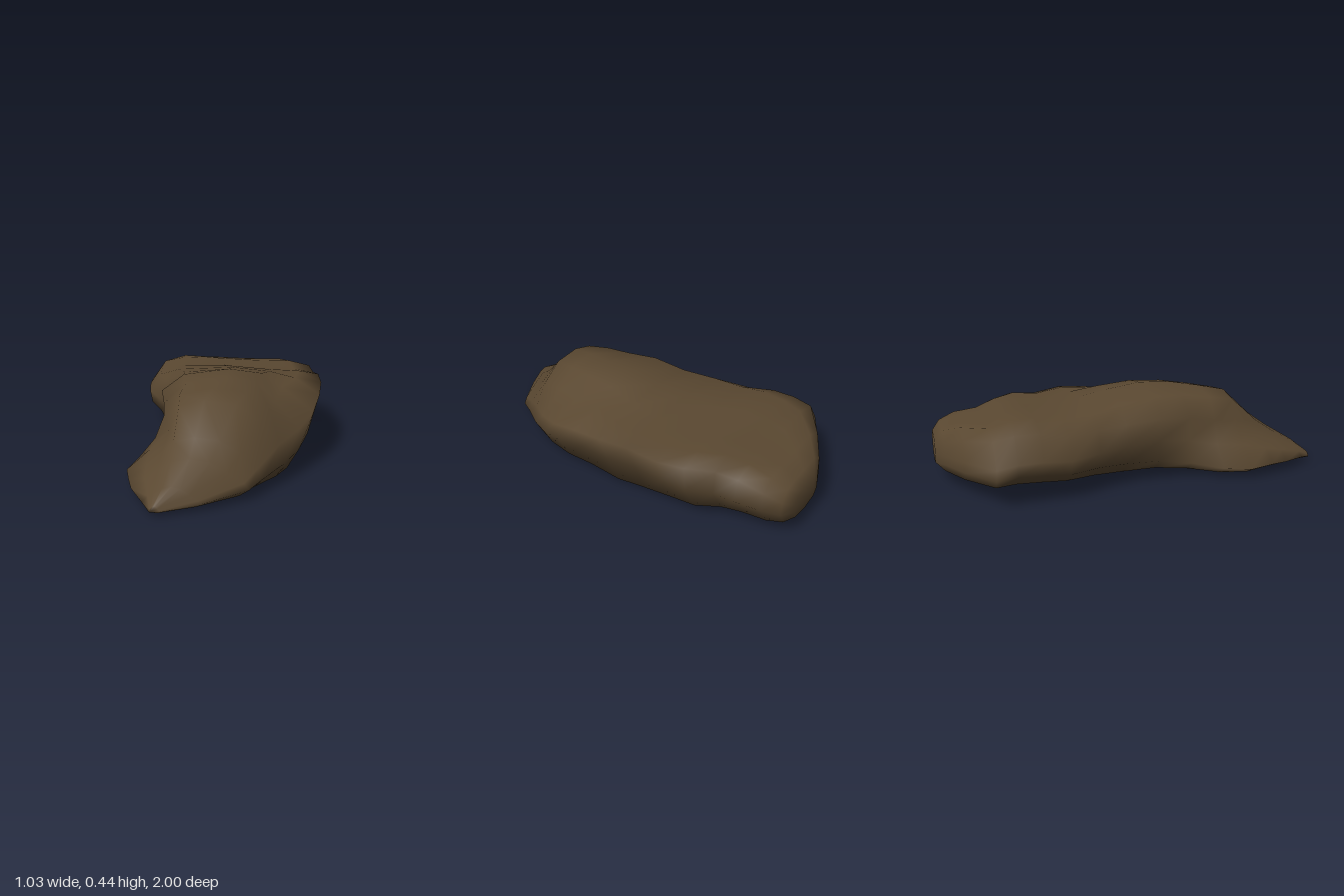
import * as THREE from 'three';

// Outline along the length: z, left x, right x, bottom y, top y
const outline = [
  [1.0, -0.28, -0.23, 0.02, 0.05], [0.93, -0.32, -0.06, 0.02, 0.11],
  [0.8, -0.39, 0.14, 0.02, 0.19], [0.7, -0.42, 0.20, 0.02, 0.26],
  [0.56, -0.455, 0.30, 0.015, 0.395], [0.42, -0.43, 0.39, 0.01, 0.42],
  [0.27, -0.355, 0.455, 0.015, 0.44], [0.1, -0.355, 0.49, 0.02, 0.445],
  [-0.08, -0.365, 0.51, 0.0, 0.415], [-0.24, -0.42, 0.505, 0.0, 0.39],
  [-0.4, -0.49, 0.495, 0.01, 0.365], [-0.54, -0.51, 0.485, 0.02, 0.38],
  [-0.66, -0.515, 0.41, 0.03, 0.365], [-0.76, -0.52, 0.37, 0.03, 0.33],
  [-0.88, -0.30, 0.33, 0.03, 0.31], [-0.96, -0.13, 0.29, 0.05, 0.27],
  [-1.0, -0.02, 0.23, 0.08, 0.22],
];

// Key cross-sections as fractions of the outline: up the left flank, over the top, down the right
const sections = [
  { z: 0.95, p: [.1, .05, 0, .2, .1, .5, .2, .7, .35, .9, .5, 1, .65, .9, .8, .6, .95, .3, 1, .15, .9, 0, .5, 0] },
  { z: 0.56, p: [.08, 0, 0, .08, .15, .35, .28, .62, .34, .92, .5, 1, .7, .96, .85, .75, .97, .45, 1, .2, .95, .03, .5, 0] },
  { z: 0.2, p: [.1, .03, .02, .15, .06, .4, 0, .7, .16, .92, .43, 1, .62, .95, .73, .72, 1, .62, .95, .35, .85, 0, .5, 0] },
  { z: -0.2, p: [.15, .1, .02, .3, 0, .5, .05, .75, .13, .93, .45, 1, .7, .95, .88, .93, 1, .89, .92, .5, .83, .04, .5, 0] },
  { z: -0.76, p: [.04, .22, 0, .35, 0, .52, .1, .9, .25, 1, .45, .95, .7, .93, .85, .95, .97, .85, 1, .5, .9, .1, .5, 0] },
  { z: -1.0, p: [.1, .1, 0, .3, 0, .5, .03, .8, .2, 1, .5, 1, .7, 1, .9, .95, 1, .7, 1, .4, .9, .1, .5, 0] },
];

// Blend the two key sections around z
function sectionAt(z) {
  let k = 0;
  while (k < sections.length - 2 && z < sections[k + 1].z) k++;
  const a = sections[k], b = sections[k + 1];
  const t = THREE.MathUtils.clamp((a.z - z) / (a.z - b.z), 0, 1);
  return a.p.map((v, i) => v + (b.p[i] - v) * t);
}

function boulderGeometry() {
  const n = 12, positions = [], index = [];
  for (const [z, left, right, bottom, top] of outline) {
    const s = sectionAt(z);
    for (let j = 0; j < n; j++) {
      positions.push(left + s[2 * j] * (right - left), bottom + s[2 * j + 1] * (top - bottom), z);
    }
  }
  // Skin between neighbouring rings
  for (let i = 0; i < outline.length - 1; i++) {
    for (let j = 0; j < n; j++) {
      const a = i * n + j, b = i * n + (j + 1) % n;
      index.push(a, b, a + n, b, b + n, a + n);
    }
  }
  // Close both ends
  const last = (outline.length - 1) * n;
  for (let j = 1; j < n - 1; j++) {
    index.push(0, j + 1, j, last, last + j, last + j + 1);
  }
  const geometry = new THREE.BufferGeometry();
  geometry.setAttribute('position', new THREE.Float32BufferAttribute(positions, 3));
  geometry.setIndex(index);
  geometry.computeVertexNormals();
  return geometry;
}

export function createModel() {
  const group = new THREE.Group();
  group.name = 'rock';
  const brownStone = new THREE.MeshStandardMaterial({ color: 0x5a4831 });
  brownStone.name = 'brown stone';
  const boulder = new THREE.Mesh(boulderGeometry(), brownStone);
  boulder.name = 'boulder';
  group.add(boulder);
  return group;
}
